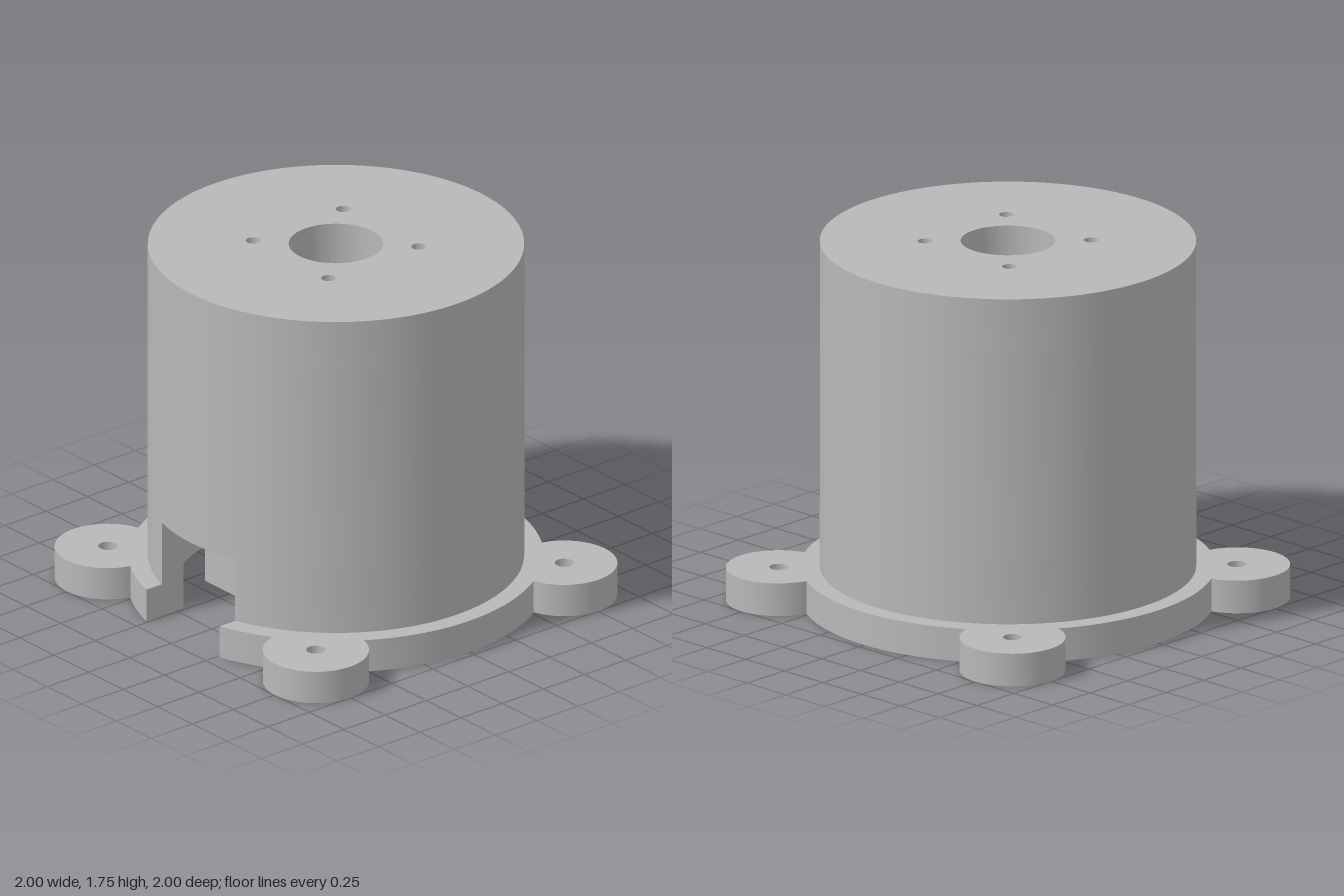
import * as THREE from 'three';
import { toCreasedNormals } from 'three/addons/utils/BufferGeometryUtils.js';

const BODY_R = 0.875, INNER_R = 0.75, FLANGE_R = 0.965, HEIGHT = 1.75;
const FLANGE_H = 0.16, NOTCH_H = 0.475, NOTCH_HALF = 0.265, CEILING = 1.49;
const EAR_R = 0.247, EAR_POS = 0.753, SCREW_R = 0.045;
const TUBE_OUT = 0.4325, TUBE_IN = 0.33;

const circle = (path, x, y, r) => path.absarc(x, y, r, 0, Math.PI * 2, false);

function addHole(shape, x, y, r) {
  const hole = new THREE.Path();
  circle(hole, x, y, r);
  shape.holes.push(hole);
}

// Ring open at the front by the notch width, with optional screw ears
function openRing(radius, withEars) {
  const shape = new THREE.Shape();
  const outer = Math.asin(NOTCH_HALF / radius), inner = Math.asin(NOTCH_HALF / INNER_R);
  let from = -Math.PI / 2 + outer;
  if (withEars) {
    const d = EAR_POS * Math.SQRT2;
    const a = Math.acos((radius ** 2 + d * d - EAR_R ** 2) / (2 * radius * d));
    const b = Math.PI - Math.acos((EAR_R ** 2 + d * d - radius ** 2) / (2 * EAR_R * d));
    for (let k = 0; k < 4; k++) {
      const t = -Math.PI / 4 + k * Math.PI / 2;
      const x = d * Math.cos(t), y = d * Math.sin(t);
      shape.absarc(0, 0, radius, from, t - a, false);
      shape.absarc(x, y, EAR_R, t - b, t + b, false);
      addHole(shape, x, y, SCREW_R);
      from = t + a;
    }
  }
  shape.absarc(0, 0, radius, from, Math.PI * 1.5 - outer, false);
  shape.absarc(0, 0, INNER_R, Math.PI * 1.5 - inner, -Math.PI / 2 + inner, true);
  shape.closePath();
  return shape;
}

function square(path, h) {
  path.moveTo(-h, -h).lineTo(h, -h).lineTo(h, h).lineTo(-h, h).closePath();
  return path;
}

export function createModel() {
  const group = new THREE.Group();
  const grey = new THREE.MeshStandardMaterial({ color: 0xb8b8b8 });
  grey.name = 'grey';

  // Raises a plan outline from y0 to y1
  const raise = (name, shape, y0, y1) => {
    let geo = new THREE.ExtrudeGeometry(shape, { depth: y1 - y0, bevelEnabled: false, curveSegments: 64 });
    geo = toCreasedNormals(geo, 0.5);
    geo.rotateX(-Math.PI / 2);
    geo.translate(0, y0, 0);
    const mesh = new THREE.Mesh(geo, grey);
    mesh.name = name;
    group.add(mesh);
  };

  // Base flange with four ears, then the notched and the full wall
  raise('baseFlange', openRing(FLANGE_R, true), 0, FLANGE_H);
  raise('notchedWall', openRing(BODY_R, false), FLANGE_H, NOTCH_H);
  const wall = new THREE.Shape();
  circle(wall, 0, 0, BODY_R);
  addHole(wall, 0, 0, INNER_R);
  raise('upperWall', wall, NOTCH_H, CEILING);

  // Top plate with shaft hole and four screw holes
  const top = new THREE.Shape();
  circle(top, 0, 0, BODY_R);
  addHole(top, 0, 0, 0.22);
  for (const x of [-0.273, 0.273]) for (const y of [-0.273, 0.273]) addHole(top, x, y, 0.035);
  raise('topPlate', top, CEILING, HEIGHT);

  // Square sleeve hanging inside the body
  const sleeve = square(new THREE.Shape(), TUBE_OUT);
  sleeve.holes.push(square(new THREE.Path(), TUBE_IN));
  raise('innerSleeve', sleeve, 0, CEILING);

  return group;
}
